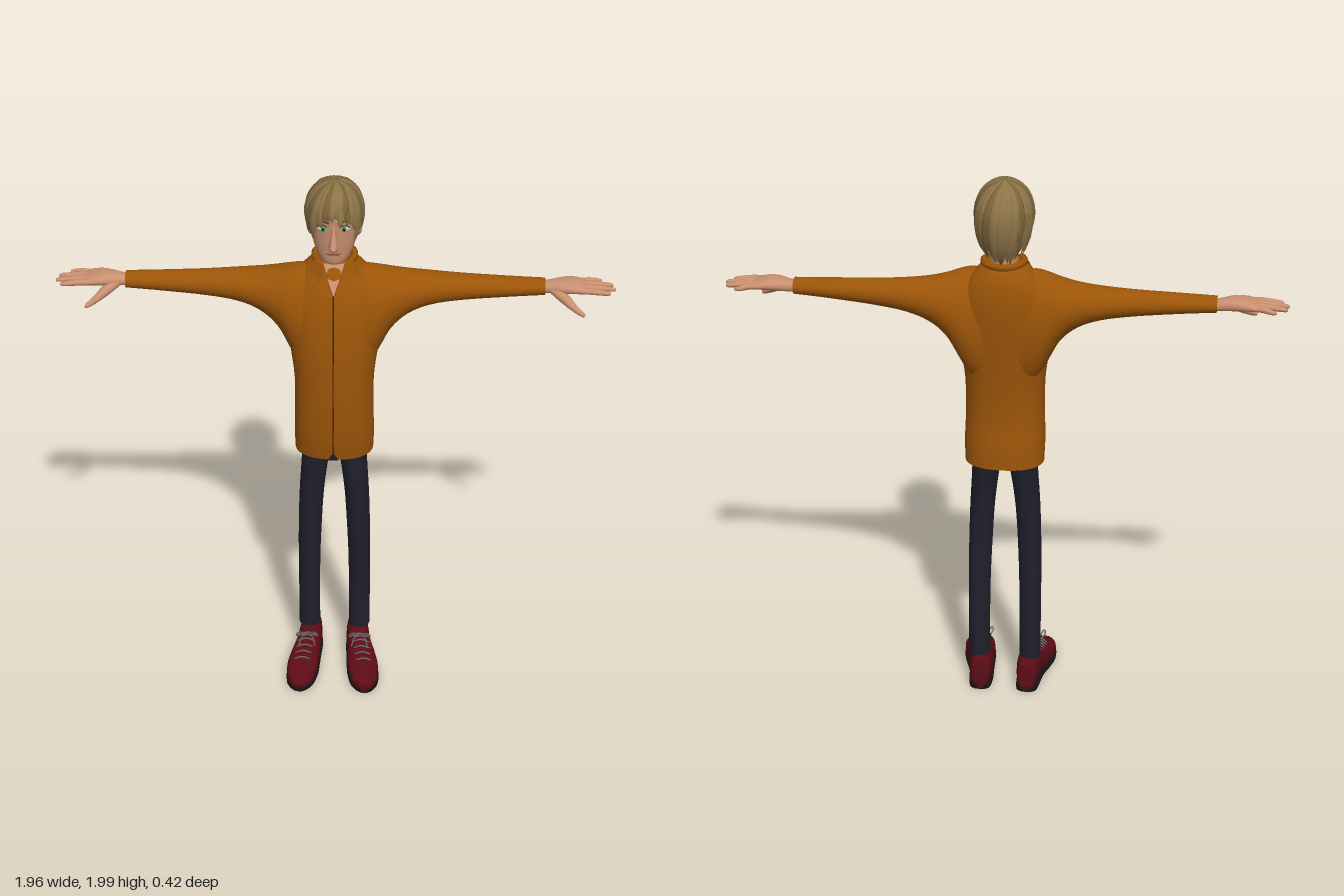
import * as THREE from 'three';

const V = (x, y, z) => new THREE.Vector3(x, y, z);
const mat = (color) => new THREE.MeshStandardMaterial({ color, side: THREE.DoubleSide });
const M = {
  shirt: mat(0x9c5508), seam: mat(0x4a2804), skin: mat(0xc99070), hair: mat(0x8d7448), hairDark: mat(0x79623a),
  pants: mat(0x20202c), shoe: mat(0x5c0c16), sole: mat(0x141414), lace: mat(0x6a6a6a),
  white: mat(0xe8e8e8), green: mat(0x2f9a5c), black: mat(0x101010), brow: mat(0x5c4526), lip: mat(0x8a4a40),
};

// Closed surface through rings; a ring has centre c and half axes u, v
function loft(rings, { n = 24, k = 4, e = 2 } = {}) {
  const curve = (key) => new THREE.CatmullRomCurve3(rings.map((r) => r[key]), false, 'catmullrom', 0.5);
  const [C, U, W] = ['c', 'u', 'v'].map(curve);
  const count = (rings.length - 1) * k;
  const mid = rings[rings.length >> 1];
  const dir = rings[rings.length - 1].c.clone().sub(rings[0].c);
  const flip = mid.u.clone().cross(mid.v).dot(dir) < 0 ? -1 : 1;
  const sup = (q) => Math.sign(q) * Math.abs(q) ** (2 / e);
  const pos = [], idx = [];
  const ring = (i) => {
    const t = i / count, c = C.getPoint(t), u = U.getPoint(t), v = W.getPoint(t);
    for (let j = 0; j < n; j++) {
      const a = (j / n) * Math.PI * 2;
      const p = c.clone().addScaledVector(u, sup(Math.cos(a))).addScaledVector(v, flip * sup(Math.sin(a)));
      pos.push(p.x, p.y, p.z);
    }
    return c;
  };
  for (let i = 0; i <= count; i++) ring(i);
  for (let i = 0; i < count; i++) for (let j = 0; j < n; j++) {
    const a = i * n + j, b = i * n + (j + 1) % n;
    idx.push(a, b, a + n, b, b + n, a + n);
  }
  for (const i of [0, count]) {
    const base = pos.length / 3, c = ring(i);
    pos.push(c.x, c.y, c.z);
    for (let j = 0; j < n; j++) {
      const a = base + j, b = base + (j + 1) % n;
      idx.push(base + n, ...(i ? [a, b] : [b, a]));
    }
  }
  const g = new THREE.BufferGeometry();
  g.setAttribute('position', new THREE.Float32BufferAttribute(pos, 3));
  g.setIndex(idx);
  g.computeVertexNormals();
  return g;
}

// Ring builders: level [y, cx, half width, front z, back z]; across x [x, top, bottom, front z, back z];
// along z [z, cx, half width, top, bottom]
const level = ([y, cx, w, f, b]) => ({ c: V(cx, y, (f + b) / 2), u: V(w, 0, 0), v: V(0, 0, (f - b) / 2) });
const acrossX = (s) => ([x, t, b, f, k]) =>
  ({ c: V(s * x, (t + b) / 2, (f + k) / 2), u: V(0, 0, (f - k) / 2), v: V(0, (t - b) / 2, 0) });
const alongZ = (s) => ([z, cx, w, t, b]) => ({ c: V(s * cx, (t + b) / 2, z), u: V(w, 0, 0), v: V(0, (t - b) / 2, 0) });

// Tapered strand through points, flattened along the given normals
function strand(pts, widths, flat, normal, n = 8) {
  return loft(pts.map((c, i) => {
    const t = pts[Math.min(i + 1, pts.length - 1)].clone().sub(pts[Math.max(i - 1, 0)]).normalize();
    const u = t.clone().cross(normal(c)).normalize();
    return { c, u: u.clone().multiplyScalar(widths[i]), v: u.cross(t).multiplyScalar(widths[i] * flat) };
  }), { n, k: 3 });
}

export function createModel() {
  const model = new THREE.Group();
  const add = (name, geo, m, parent = model) => {
    const mesh = new THREE.Mesh(geo, m);
    mesh.name = name;
    parent.add(mesh);
    return mesh;
  };
  const ball = (name, m, [x, y, z], [a, b, c]) =>
    add(name, new THREE.SphereGeometry(1, 20, 14).scale(a, b, c).translate(x, y, z), m);
  const tube = (name, pts, r, m) =>
    add(name, new THREE.TubeGeometry(new THREE.CatmullRomCurve3(pts.map((p) => V(...p))), 20, r, 6), m);

  // Shirt body
  add('shirtBody', loft([
    [0.94, 0, 0.142, 0.045, -0.173], [1.02, 0, 0.144, 0.058, -0.17], [1.12, 0, 0.141, 0.066, -0.162],
    [1.25, 0, 0.142, 0.069, -0.166], [1.38, 0, 0.158, 0.066, -0.178], [1.5, 0, 0.168, 0.054, -0.189],
    [1.58, 0, 0.16, 0.036, -0.191], [1.64, 0, 0.128, 0.013, -0.185], [1.68, 0, 0.09, -0.008, -0.17],
    [1.705, 0, 0.064, -0.03, -0.15],
  ].map(level), { n: 40, e: 2.3 }), M.shirt);
  tube('placket', [[0, 0.97, 0.051], [0, 1.1, 0.065], [0, 1.25, 0.07], [0, 1.4, 0.066], [0, 1.5, 0.055], [0, 1.6, 0.031]], 0.0025, M.seam);
  const notch = new THREE.Shape([[-0.02, 0], [0.02, 0], [0, 0.035]].map((p) => new THREE.Vector2(...p)));
  add('hemNotch', new THREE.ShapeGeometry(notch).rotateX(0.15).translate(0, 0.938, 0.047), M.pants);

  // Open neck and collar
  const neckline = new THREE.Shape([[0, 1.6], [0.04, 1.7], [-0.04, 1.7]].map((p) => new THREE.Vector2(...p)));
  const lean = (g, lift) => {
    const p = g.attributes.position;
    for (let i = 0; i < p.count; i++) {
      const x = p.getX(i), y = p.getY(i);
      p.setZ(i, p.getZ(i) + 0.033 + lift - (y - 1.6) * 0.5 - x * x * 5);
    }
    g.computeVertexNormals();
    return g;
  };
  add('openNeck', lean(new THREE.ShapeGeometry(neckline), 0.004), M.skin);
  for (const s of [1, -1]) {
    const flap = new THREE.Shape([[0.004, 1.605], [0.038, 1.65], [0.083, 1.61], [0.098, 1.645], [0.066, 1.708], [0.036, 1.7]]
      .map(([x, y]) => new THREE.Vector2(s * x, y)));
    add('collarFlap', lean(new THREE.ExtrudeGeometry(flap, { depth: 0.008, bevelEnabled: false }), 0.006), M.shirt);
  }
  tube('collarBand', [[-0.055, 1.7, -0.03], [-0.07, 1.705, -0.09], [-0.045, 1.705, -0.145], [0, 1.705, -0.163],
    [0.045, 1.705, -0.145], [0.07, 1.705, -0.09], [0.055, 1.7, -0.03]], 0.013, M.shirt);

  // Arms, hands, legs and shoes on both sides
  for (const s of [1, -1]) {
    add('sleeve', loft([
      [0.05, 1.66, 1.22, 0.03, -0.175], [0.11, 1.672, 1.26, 0.034, -0.186], [0.16, 1.662, 1.35, 0.024, -0.189],
      [0.2, 1.65, 1.425, 0.006, -0.188], [0.26, 1.638, 1.48, -0.018, -0.183], [0.34, 1.63, 1.512, -0.04, -0.171],
      [0.45, 1.623, 1.53, -0.054, -0.157], [0.6, 1.617, 1.545, -0.06, -0.146], [0.735, 1.612, 1.556, -0.064, -0.14],
    ].map(acrossX(s)), { n: 32 }), M.shirt);
    add('palm', loft([
      [0.7, 1.603, 1.563, -0.076, -0.13], [0.745, 1.604, 1.564, -0.074, -0.132], [0.79, 1.612, 1.567, -0.058, -0.143],
      [0.83, 1.611, 1.571, -0.05, -0.152], [0.87, 1.601, 1.574, -0.05, -0.154], [0.885, 1.594, 1.578, -0.06, -0.145],
    ].map(acrossX(s)), { n: 20, e: 2.4 }), M.skin);
    const finger = (name, pts, w) => add(name, strand(pts.map(([x, y, z]) => V(s * x, y, z)), w, 0.9, () => V(0, 1, 0.01), 10), M.skin);
    [[0.962, -0.062, -0.058], [0.982, -0.087, -0.09], [0.975, -0.114, -0.123], [0.938, -0.138, -0.155]].forEach(([x, z0, z1]) => {
      finger('finger', [[0.85, 1.588, z0], [0.89, 1.588, (z0 * 2 + z1) / 3], [x - 0.02, 1.583, z1], [x - 0.004, 1.581, z1], [x, 1.58, z1]],
        [0.012, 0.0125, 0.0095, 0.007, 0.002]);
    });
    finger('thumb', [[0.765, 1.58, -0.085], [0.8, 1.563, -0.056], [0.835, 1.538, -0.032], [0.866, 1.52, -0.014], [0.873, 1.516, -0.01]],
      [0.018, 0.02, 0.014, 0.009, 0.002]);

    add('trouserLeg', loft([
      [0.13, s * 0.095, 0.04, -0.03, -0.116], [0.3, s * 0.095, 0.04, -0.03, -0.116], [0.45, s * 0.094, 0.041, -0.018, -0.114],
      [0.6, s * 0.09, 0.043, -0.003, -0.11], [0.75, s * 0.083, 0.045, 0.007, -0.115], [0.88, s * 0.071, 0.049, 0.011, -0.13],
      [0.95, s * 0.062, 0.056, 0.011, -0.142], [1.0, s * 0.06, 0.06, 0.01, -0.145],
    ].map(level)), M.pants);

    // [z, centre x, half width, top y]
    const foot = [[-0.14, 0.088, 0.02, 0.09], [-0.127, 0.088, 0.036, 0.128], [-0.07, 0.09, 0.043, 0.139], [-0.02, 0.095, 0.045, 0.126],
      [0.04, 0.106, 0.053, 0.1], [0.1, 0.115, 0.058, 0.078], [0.16, 0.12, 0.05, 0.06], [0.193, 0.122, 0.033, 0.05], [0.208, 0.123, 0.014, 0.038]];
    add('shoe', loft(foot.map(([z, x, w, t]) => [z, x, w, t, 0.004]).map(alongZ(s)), { e: 2.5 }), M.shoe);
    add('sole', loft(foot.map(([z, x, w]) => [z, x, w + 0.002, 0.022, 0]).map(alongZ(s)), { e: 5 }), M.sole);
    for (let i = 0; i < 5; i++) {
      const z = 0.0 + i * 0.026, x = 0.099 + i * 0.0045, y = 0.12 - i * 0.0095;
      tube('lace', [[s * (x - 0.034), y - 0.014, z - 0.006], [s * x, y + 0.006, z + 0.004], [s * (x + 0.034), y - 0.014, z - 0.006]], 0.003, M.lace);
    }
    for (const d of [1, -1]) {
      const x = (q) => s * 0.1 + d * q;
      tube('laceLoop', [[x(0), 0.122, 0.012], [x(0.022), 0.145, 0.03], [x(0.036), 0.16, 0.056], [x(0.04), 0.146, 0.05], [x(0.02), 0.13, 0.025], [x(0), 0.122, 0.012]], 0.0028, M.lace);
      tube('laceEnd', [[x(0), 0.122, 0.012], [x(0.02), 0.13, 0.04], [x(0.03), 0.115, 0.07]], 0.0025, M.lace);
    }
  }

  // Neck, head and face
  add('neck', loft([[1.6, 0, 0.055, -0.02, -0.14], [1.68, 0, 0.047, -0.03, -0.135], [1.78, 0, 0.048, -0.03, -0.14]].map(level)), M.skin);
  add('head', loft([
    [1.707, 0, 0.022, 0.0, -0.04], [1.715, 0, 0.038, 0.012, -0.06], [1.735, 0, 0.054, 0.017, -0.085], [1.765, 0, 0.069, 0.02, -0.125],
    [1.8, 0, 0.077, 0.024, -0.15], [1.85, 0, 0.081, 0.028, -0.168], [1.9, 0, 0.083, 0.03, -0.175],
    [1.945, 0, 0.075, 0.015, -0.165], [1.975, 0, 0.04, -0.03, -0.13],
  ].map(level), { n: 32, e: 2.2 }), M.skin);
  add('nose', loft([[1.87, 0, 0.007, 0.029, 0], [1.835, 0, 0.01, 0.043, 0], [1.805, 0, 0.014, 0.068, 0], [1.793, 0, 0.016, 0.076, 0],
    [1.782, 0, 0.015, 0.06, 0], [1.775, 0, 0.009, 0.035, 0]].map(level), { n: 16 }), M.skin);
  ball('mouth', M.lip, [0, 1.755, 0.016], [0.026, 0.005, 0.006]);
  for (const s of [1, -1]) {
    ball('ear', M.skin, [s * 0.083, 1.815, -0.088], [0.012, 0.034, 0.022]);
    ball('eye', M.white, [s * 0.037, 1.853, 0.014], [0.02, 0.012, 0.011]);
    ball('iris', M.green, [s * 0.036, 1.853, 0.02], [0.0095, 0.0105, 0.007]);
    ball('pupil', M.black, [s * 0.036, 1.853, 0.025], [0.004, 0.005, 0.003]);
    tube('upperLid', [[s * 0.017, 1.858, 0.024], [s * 0.036, 1.868, 0.024], [s * 0.056, 1.858, 0.016]], 0.0025, M.brow);
    tube('eyebrow', [[s * 0.014, 1.876, 0.028], [s * 0.036, 1.884, 0.026], [s * 0.06, 1.877, 0.015]], 0.004, M.brow);
  }

  // Hair: a cap with two layers of pointed locks falling from the crown
  const hc = V(0, 1.865, -0.077);
  const cap = new THREE.SphereGeometry(1, 32, 16, 0, Math.PI * 2, 0, 1.75).rotateX(-0.5).scale(0.095, 0.121, 0.122);
  add('hairCap', cap.translate(hc.x, hc.y, hc.z), M.hairDark);
  const onHair = (az, t, out) => {
    const drop = Math.max(0, t - Math.PI / 2);
    const r = (drop ? 1 - 0.25 * drop * drop : Math.sin(t)) * out;
    const y = drop ? -drop * 0.13 : Math.cos(t) * 0.126 * out;
    return V(Math.sin(az) * r * 0.1, hc.y + y, hc.z + Math.cos(az) * r * 0.128);
  };
  const wobble = (i) => Math.sin(i * 12.9898) * 0.5 + Math.sin(i * 4.137) * 0.5;
  const locks = 26;
  for (let layer = 0; layer < 2; layer++) for (let i = 0; i < locks; i++) {
    const az = ((i + layer * 0.5) / locks) * Math.PI * 2 - Math.PI;
    const side = Math.abs(az);
    const base = side < 0.75 ? 1.38 + side * 0.42 : side < 1.2 ? 2.0 : side < 1.9 ? 1.82 : 2.35 + (side - 1.9) * 0.35;
    const end = base - layer * 0.12 + wobble(i + layer * 40) * 0.15;
    const pts = [0, 0.25, 0.5, 0.75, 0.92, 1].map((f) =>
      onHair(az + 0.3 * (1 - f) + wobble(i + 7) * 0.12 * f * f, 0.1 + (end - 0.1) * f, 0.98 + layer * 0.02));
    add('hairLock', strand(pts, [0.005, 0.014, 0.018, 0.015, 0.008, 0.001], 0.45, (p) => p.clone().sub(hc)),
      (i + layer) % 3 ? M.hair : M.hairDark);
  }
  return model;
}
